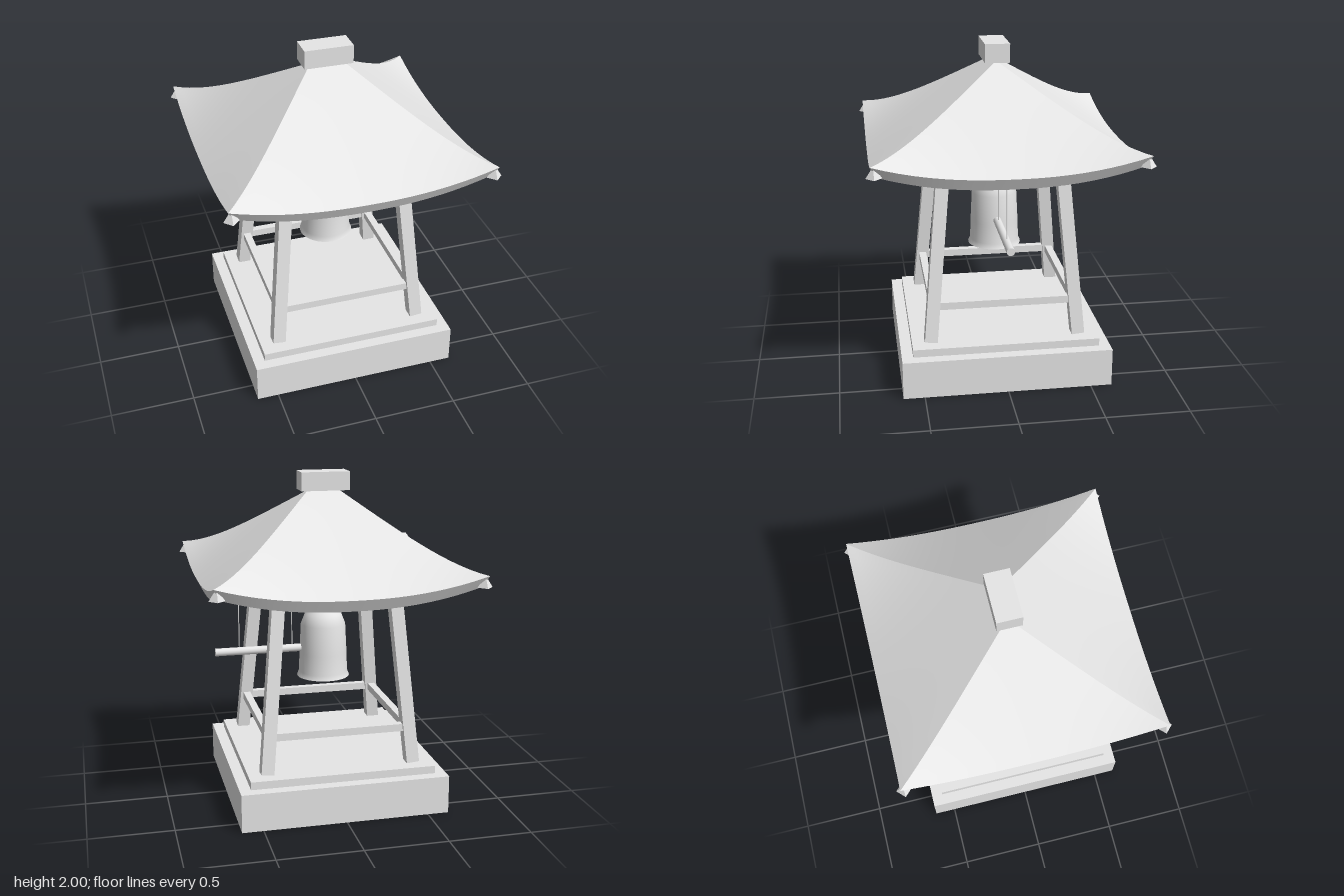
import * as THREE from 'three';

const EAVE = 0.775, RIDGE = 0.09, THICK = 0.068, INSET = 0.034;

export function createModel() {
  const model = new THREE.Group();
  model.name = 'bellPavilion';
  const stone = new THREE.MeshStandardMaterial({ color: 0xe6e6e6, side: THREE.DoubleSide });
  stone.name = 'paleGrey';

  const add = (name, geometry, x = 0, y = 0, z = 0, parent = model) => {
    const mesh = new THREE.Mesh(geometry, stone);
    mesh.name = name;
    mesh.position.set(x, y, z);
    parent.add(mesh);
    return mesh;
  };
  const box = (name, w, y0, y1, d, x = 0, z = 0) =>
    add(name, new THREE.BoxGeometry(w, y1 - y0, d), x, (y0 + y1) / 2, z);
  const rod = (name, r, y0, y1, x) =>
    add(name, new THREE.CylinderGeometry(r, r, y1 - y0, 8), x, (y0 + y1) / 2, 0);

  // Stepped base
  box('baseBlock', 1.255, 0, 0.232, 1.255);
  box('baseStep', 1.12, 0.232, 0.279, 1.12);

  // Four posts leaning inwards
  const up = new THREE.Vector3(0, 1, 0);
  for (const sx of [-1, 1]) for (const sz of [-1, 1]) {
    const foot = new THREE.Vector3(sx * 0.446, 0.28, sz * 0.446);
    const head = new THREE.Vector3(sx * 0.345, 1.37, sz * 0.345);
    const dir = head.clone().sub(foot);
    const mid = foot.clone().add(head).multiplyScalar(0.5);
    const post = add('post', new THREE.BoxGeometry(0.077, dir.length(), 0.077), mid.x, mid.y, mid.z);
    post.quaternion.setFromUnitVectors(up, dir.normalize());
  }

  // Rails between the posts, low and high
  for (const [name, y, at] of [['lowerRail', 0.498, 0.425], ['upperBeam', 1.293, 0.352]]) {
    for (const s of [-1, 1]) {
      box(name, at * 2, y - 0.0225, y + 0.0225, 0.045, 0, s * at);
      box(name, 0.045, y - 0.0225, y + 0.0225, at * 2, s * at, 0);
    }
  }

  // Bell with flared lip, and its hanger
  const profile = [[0.163, 0.73], [0.151, 0.76], [0.147, 0.88], [0.138, 1.06],
    [0.113, 1.125], [0.066, 1.175], [0, 1.19]].map(p => new THREE.Vector2(...p));
  add('bell', new THREE.LatheGeometry(profile, 32));
  rod('bellHanger', 0.008, 1.18, 1.335, 0);

  // Striking log on two ropes
  const log = add('strikingLog', new THREE.CylinderGeometry(0.024, 0.024, 0.535, 16), 0.4075, 0.913, 0);
  log.rotation.z = Math.PI / 2;
  for (const x of [0.198, 0.527]) rod('strikerRope', 0.003, 0.92, 1.335, x);

  // Hipped roof: straight slopes with corners sweeping upwards
  const roof = new THREE.Group();
  roof.name = 'roof';
  model.add(roof);
  const sheet = (name, nu, nv, rule) => {
    const g = new THREE.PlaneGeometry(1, 1, nu, nv);
    const { position, uv } = g.attributes;
    for (let i = 0; i < position.count; i++) {
      position.setXYZ(i, ...rule(uv.getX(i) * 2 - 1, uv.getY(i)));
    }
    g.computeVertexNormals();
    add(name, g, 0, 0, 0, roof);
  };
  for (let k = 0; k < 4; k++) {
    const sin = [0, 1, 0, -1][k], cos = [1, 0, -1, 0][k];
    const out0 = k % 2 ? RIDGE : 0, half0 = k % 2 ? 0 : RIDGE;
    // depth 0 is the top surface, 1 the underside, whose eave is set back
    const point = (u, t, depth) => {
      const eave = EAVE - INSET * depth;
      const out = out0 + (eave - out0) * t;
      const side = u * (half0 + (eave - half0) * t);
      const y = 1.89 - 0.515 * t + 0.1 * t ** 4 * Math.abs(u) ** 2.3 - THICK * depth;
      return [out * sin + side * cos, y, out * cos - side * sin];
    };
    sheet('roofSlope', 20, 16, (u, v) => point(u, 1 - v, 0));
    sheet('roofUnderside', 20, 16, (u, v) => point(-u, 1 - v, 1));
    sheet('roofEave', 20, 1, (u, v) => point(u, 1, 1 - v));
  }
  box('ridgeCap', 0.295, 1.888, 2, 0.148);

  // Small four-sided finials at the roof corners
  for (const sx of [-1, 1]) for (const sz of [-1, 1]) {
    add('cornerFinial', new THREE.ConeGeometry(0.045, 0.07, 4).toNonIndexed(), sx * 0.755, 1.443, sz * 0.755)
      .geometry.computeVertexNormals();
  }
  return model;
}
